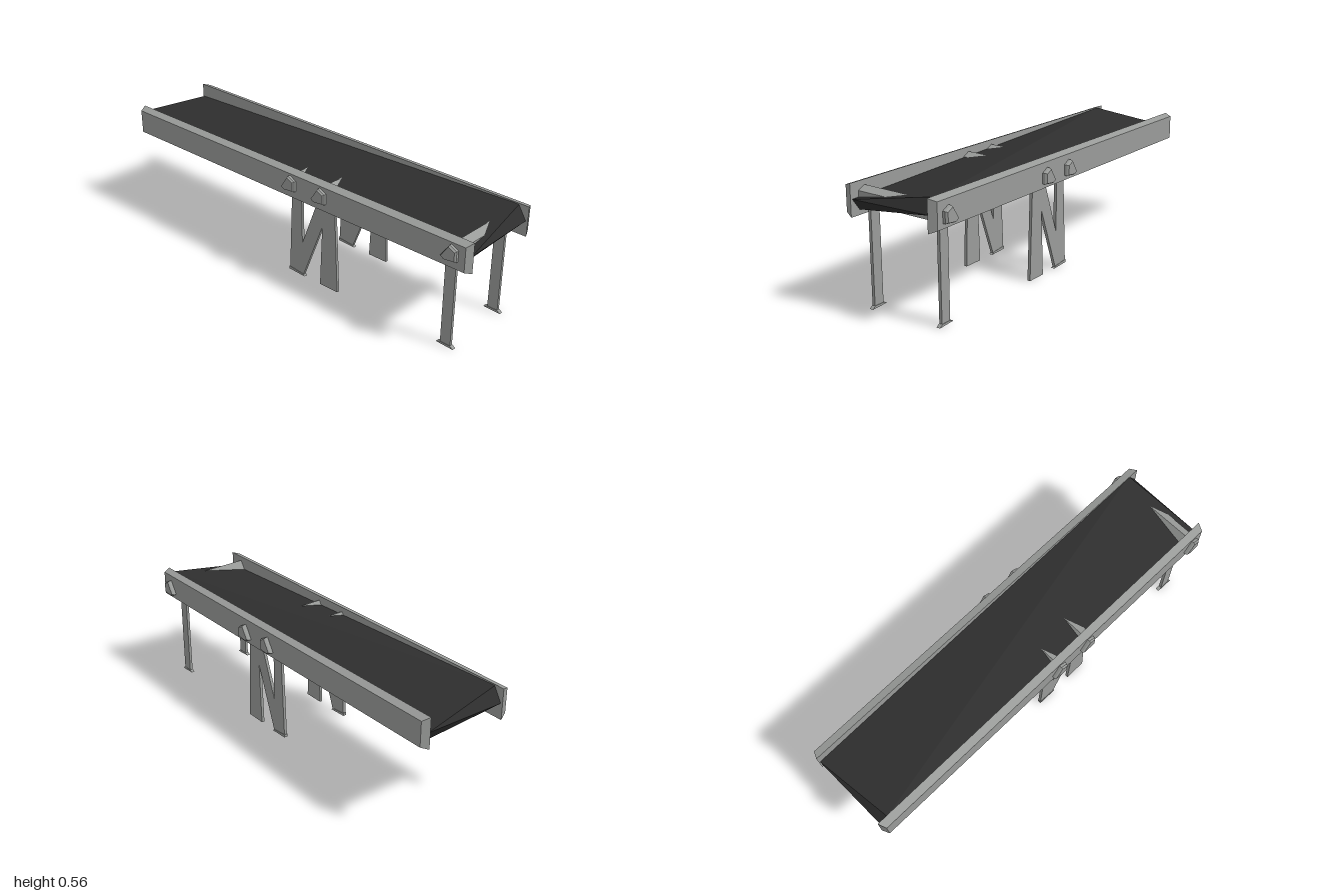
import * as THREE from 'three';

const steel = new THREE.MeshStandardMaterial({ color: 0x999b99, flatShading: true });
steel.name = 'grey steel';
const rubber = new THREE.MeshStandardMaterial({ color: 0x2e2e2e, flatShading: true });
rubber.name = 'black rubber';

function part(name, geometry, material) {
  const mesh = new THREE.Mesh(geometry, material);
  mesh.name = name;
  return mesh;
}

// Solid from [x, y, z] corners and outward-facing polygons
function solid(corners, faces) {
  const points = [];
  for (const f of faces)
    for (let i = 1; i < f.length - 1; i++)
      for (const k of [f[0], f[i], f[i + 1]]) points.push(...corners[k]);
  const g = new THREE.BufferGeometry();
  g.setAttribute('position', new THREE.Float32BufferAttribute(points, 3));
  g.computeVertexNormals();
  return g;
}

// Skin between two matching outlines, counter-clockwise as seen from +z
function loft(back, front) {
  const n = back.length;
  const ring = [...Array(n).keys()];
  const faces = [ring.map(i => n + i), [...ring].reverse()];
  for (const i of ring) {
    const j = (i + 1) % n;
    faces.push([i, j, n + j, n + i]);
  }
  return solid([...back, ...front], faces);
}

// Flat plate cut from an outline, centred on z
function plate(outline, z, depth) {
  const shape = new THREE.Shape(outline.map(p => new THREE.Vector2(...p)));
  const g = new THREE.ExtrudeGeometry(shape, { depth, bevelEnabled: false });
  return g.translate(0, 0, z - depth / 2);
}

const rect = (x, y0, y1, z) => [[-x, y0, z], [x, y0, z], [x, y1, z], [-x, y1, z]];

export function createModel() {
  const model = new THREE.Group();
  model.name = 'conveyor';

  // Belt: folded band, with tops and undersides creased along opposite corners
  const belt = solid([
    [0.99, 0.487, 0.2], [0.95, 0.55, -0.2], [0.99, 0.485, -0.2], [0.95, 0.436, 0.2],
    [-0.995, 0.487, -0.2], [-0.95, 0.55, 0.2], [-0.99, 0.485, 0.2], [-0.95, 0.42, -0.2],
  ], [
    [5, 0, 1], [5, 1, 4],        // top
    [3, 7, 2], [3, 6, 7],        // underside
    [0, 2, 1], [0, 3, 2],        // +x end
    [4, 6, 5], [4, 7, 6],        // -x end
    [5, 6, 3, 0], [1, 2, 7, 4],  // sides
  ]);
  model.add(part('belt', belt, rubber));

  // Side rails: bevelled towards the outer face
  const inner = z => rect(1, 0.413, 0.555, z);
  const outer = z => rect(0.985, 0.428, 0.543, z);
  model.add(part('leftRail', loft(inner(0.197), outer(0.234)), steel));
  model.add(part('rightRail', loft(outer(-0.23), inner(-0.194)), steel));

  // Roller axles: slightly tilted five-sided bars with tapered end caps
  const pentagon = [[-0.04, -0.025], [-0.02, -0.036], [0.038, -0.03], [0.038, 0.02], [0.002, 0.038]];
  const section = (x, y, z, s) => pentagon.map(([a, b]) => [x + a * s, y + b * s, z]);
  for (const x of [0.042, 0.22, 0.915]) {
    const axle = new THREE.Group();
    axle.name = 'rollerAxle';
    axle.add(part('axleBar', loft(section(x, 0.479, -0.242, 1), section(x, 0.497, 0.246, 1)), steel));
    axle.add(part('frontCap', loft(section(x, 0.497, 0.246, 1), section(x, 0.497, 0.254, 0.85)), steel));
    axle.add(part('backCap', loft(section(x, 0.479, -0.252, 0.85), section(x, 0.479, -0.242, 1)), steel));
    model.add(axle);
  }

  // Legs: a V brace, a tapered post and a slim end post on each side
  const brace = [[-0.01, 0.004], [0.075, 0.004], [0.2, 0.325], [0.242, 0.435], [0.168, 0.435],
    [0.07, 0.175], [0.068, 0.435], [0.01, 0.435]];
  const post = [[0.18, 0], [0.285, 0], [0.265, 0.435], [0.198, 0.435]];
  const endPost = [[0.862, 0.005], [0.914, 0.005], [0.914, 0.44], [0.862, 0.44]];
  for (const [side, z] of [['left', 0.178], ['right', -0.175]]) {
    const legs = new THREE.Group();
    legs.name = side + 'Legs';
    legs.add(part('braceLeg', plate(brace, z, 0.014), steel));
    legs.add(part('middleLeg', plate(post, z, 0.014), steel));
    legs.add(part('endLeg', plate(endPost, z, 0.014), steel));
    // Feet
    legs.add(part('braceFoot', plate([[-0.012, 0.004], [0.085, 0], [0.07, 0.01], [-0.012, 0.018]], z, 0.018), steel));
    legs.add(part('endFoot', plate([[0.843, 0.006], [0.93, 0.002], [0.914, 0.014], [0.862, 0.014]], z, 0.018), steel));
    model.add(legs);
  }
  return model;
}
